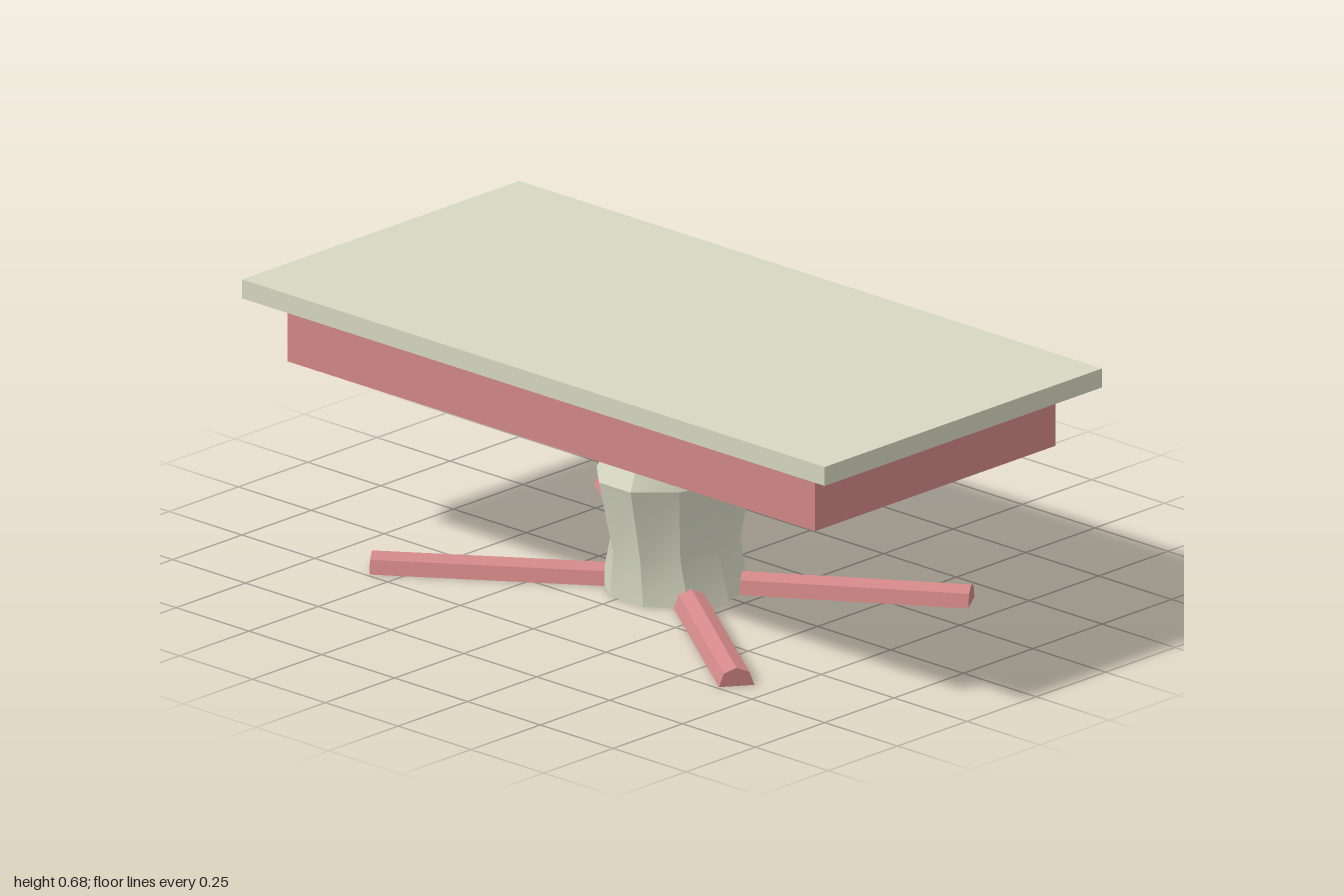
import * as THREE from 'three';
import { toCreasedNormals } from 'three/addons/utils/BufferGeometryUtils.js';

const pale = new THREE.MeshStandardMaterial({ color: 0xd6d8c2 });
const rose = new THREE.MeshStandardMaterial({ color: 0xd38888 });

function box(name, material, size, position) {
  const mesh = new THREE.Mesh(new THREE.BoxGeometry(...size), material);
  mesh.position.set(...position);
  mesh.name = name;
  return mesh;
}

// Beam with a flat underside and a shallow ridge, running from one point to another
function beam(name, material, from, to, width, height, drop = 0) {
  const w = width / 2;
  const profile = new THREE.Shape([
    [-w, 0], [w, 0], [w * 0.72, height * 0.72], [0, height], [-w * 0.72, height * 0.72],
  ].map(([x, y]) => new THREE.Vector2(x, y - drop)));
  const a = new THREE.Vector3(...from);
  const b = new THREE.Vector3(...to);
  const geometry = new THREE.ExtrudeGeometry(profile, { depth: a.distanceTo(b), bevelEnabled: false });
  const mesh = new THREE.Mesh(geometry, material);
  mesh.position.copy(a);
  mesh.lookAt(b);
  mesh.name = name;
  return mesh;
}

// Ten-sided pedestal: each ring has its own height and its own x and z radius
function pedestal() {
  const rings = [
    [0.423, 0.165, 0.115],
    [0.312, 0.229, 0.175],
    [0.122, 0.184, 0.149],
    [0, 0.184, 0.184],
  ];
  const geometry = new THREE.CylinderGeometry(1, 1, 1, 10, 3);
  const p = geometry.attributes.position;
  for (let i = 0; i < p.count; i++) {
    const [y, rx, rz] = rings[Math.round((0.5 - p.getY(i)) * 3)];
    p.setXYZ(i, p.getX(i) * rx, y, p.getZ(i) * rz);
  }
  const mesh = new THREE.Mesh(toCreasedNormals(geometry, Math.PI / 6), pale);
  mesh.position.set(-0.02, 0, 0.03);
  mesh.name = 'pedestal';
  return mesh;
}

export function createModel() {
  const model = new THREE.Group();
  model.name = 'table';

  model.add(box('tableTop', pale, [1, 0.05, 2], [0, 0.65, 0]));
  model.add(pedestal());

  // Apron frame under the top
  const apron = new THREE.Group();
  apron.name = 'apron';
  for (const s of [-1, 1]) {
    apron.add(box('apronSide', rose, [0.05, 0.16, 1.81], [s * 0.408 - 0.002, 0.545, 0]));
    apron.add(box('apronEnd', rose, [0.766, 0.16, 0.05], [-0.002, 0.545, s * 0.88]));
  }
  model.add(apron);

  // Floor legs and the struts that rise to the apron corners
  for (const sx of [-1, 1]) {
    for (const sz of [-1, 1]) {
      const outerX = sx < 0 ? -0.456 : sz > 0 ? 0.39 : 0.41;
      model.add(beam('leg', rose,
        [-0.022 + sx * 0.092, 0, 0.03 + sz * 0.145],
        [outerX, 0, 0.03 + sz * 0.626], 0.09, 0.048));
      model.add(beam('strut', pale,
        [-0.018 + sx * 0.062, 0.362, 0.022 + sz * 0.115],
        [-0.002 + sx * 0.39, 0.59, sz * 0.855], 0.085, 0.058, 0.026));
    }
  }
  return model;
}
